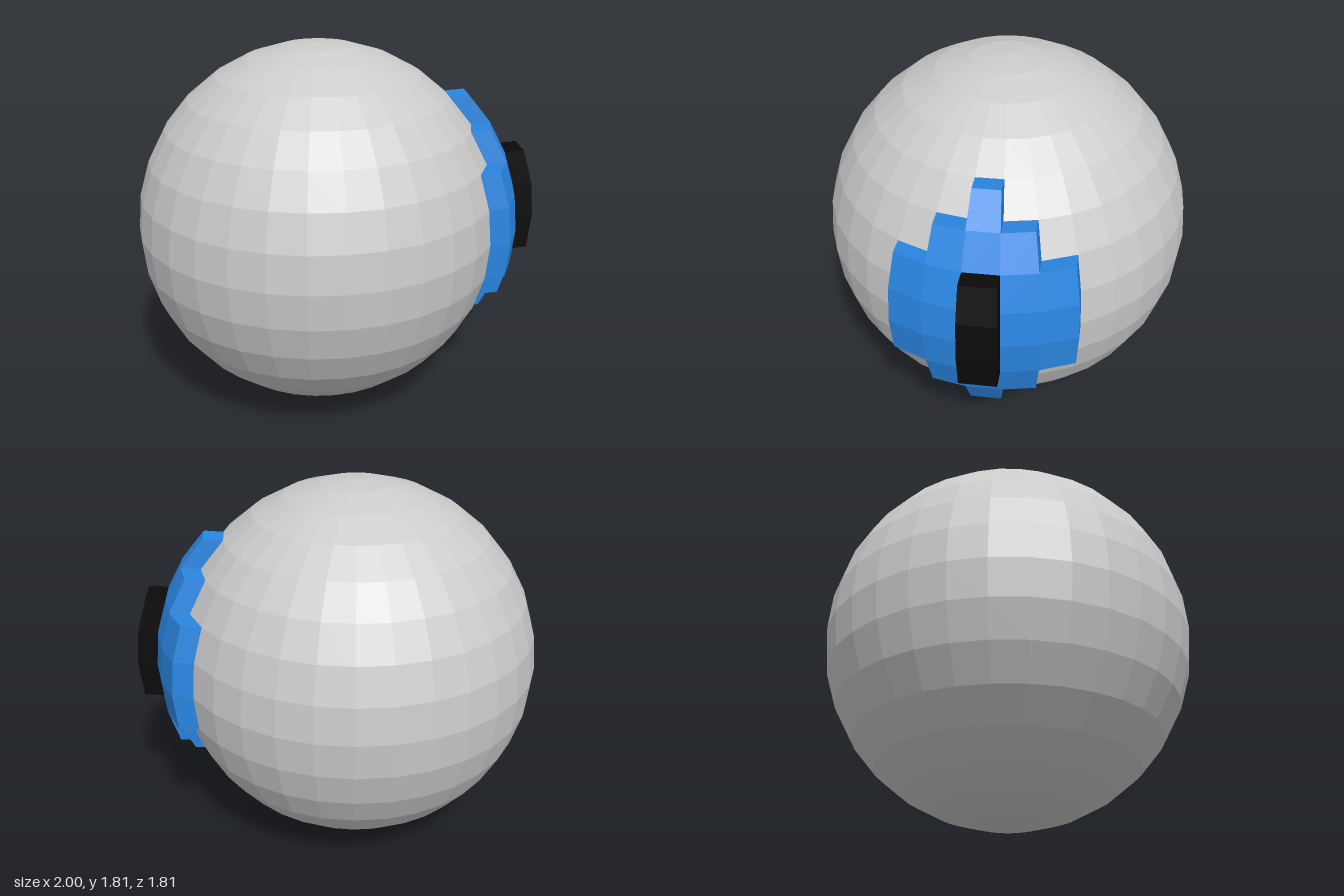
import * as THREE from 'three';

const R = 0.905, STEP = Math.PI / 16;
const CENTER = new THREE.Vector3(R - 1, R, 0);
// direction in which the raised panels are pushed out, one layer thick
const LAYER = new THREE.Vector3(0.0946, 0.0094, -0.0094);

// corner of the sphere grid, shifted outwards by a number of layers
function corner([col, row], layers) {
  const az = col * STEP, lat = row * STEP;
  return new THREE.Vector3(Math.cos(lat) * Math.cos(az), Math.sin(lat), Math.cos(lat) * Math.sin(az))
    .multiplyScalar(R).add(CENTER).addScaledVector(LAYER, layers);
}

// raised patch of sphere cells; rows = [row, first column, last column]
function raisedPatch(rows, from, to) {
  const cells = new Set();
  for (const [r, a, b] of rows) for (let c = a; c <= b; c++) cells.add(`${c},${r}`);
  const pos = [];
  const quad = (a, b, c, d) => { for (const p of [a, b, c, a, c, d]) pos.push(p.x, p.y, p.z); };
  for (const key of cells) {
    const [c, r] = key.split(',').map(Number);
    const ring = [[c + 1, r], [c, r], [c, r + 1], [c + 1, r + 1]];
    const neighbours = [[c, r - 1], [c - 1, r], [c, r + 1], [c + 1, r]];
    quad(...ring.map(p => corner(p, to)));
    // side walls along the outline of the patch
    neighbours.forEach(([nc, nr], i) => {
      if (cells.has(`${nc},${nr}`)) return;
      const a = ring[i], b = ring[(i + 1) % 4];
      quad(corner(a, from), corner(b, from), corner(b, to), corner(a, to));
    });
  }
  const geo = new THREE.BufferGeometry();
  geo.setAttribute('position', new THREE.Float32BufferAttribute(pos, 3));
  geo.computeVertexNormals();
  return geo;
}

export function createModel() {
  const group = new THREE.Group();
  const add = (name, geometry, color) => {
    const mesh = new THREE.Mesh(geometry, new THREE.MeshStandardMaterial({ color, flatShading: true }));
    mesh.name = name;
    group.add(mesh);
    return mesh;
  };

  // faceted eyeball
  add('eyeball', new THREE.SphereGeometry(R, 32, 16), 0xcccccc).position.copy(CENTER);

  // stepped blue iris
  add('iris', raisedPatch([
    [3, -1, -1], [2, -2, 0], [1, -3, 1], [0, -3, 1], [-1, -3, 1], [-2, -2, 0], [-3, -1, -1],
  ], 0, 1), 0x2a86e2);

  // slit pupil standing on the iris
  add('pupil', raisedPatch([[1, -1, -1], [0, -1, -1], [-1, -1, -1]], 1, 2), 0x0a0a0a);

  return group;
}
